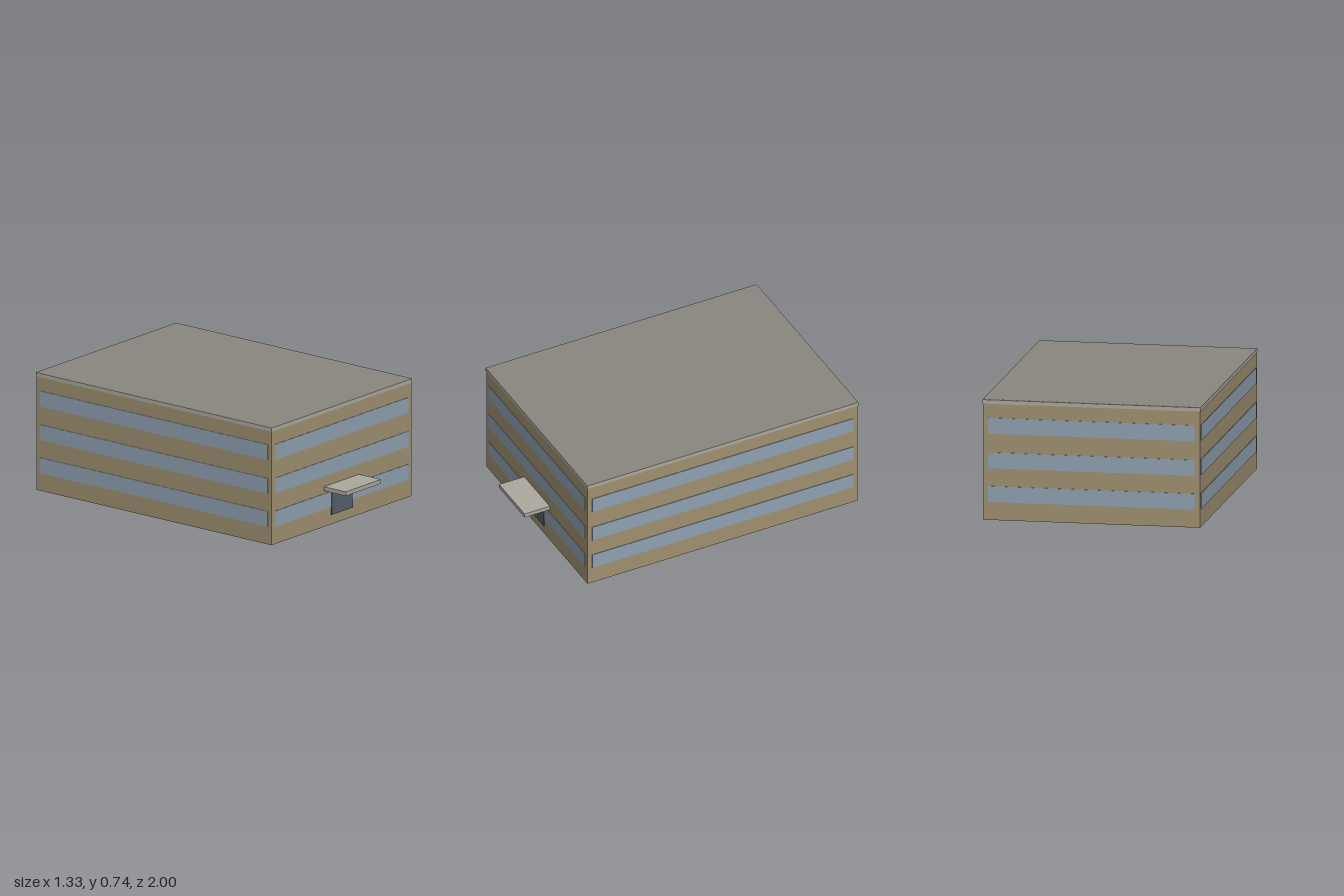
import * as THREE from 'three';

const material = (name, color, side = THREE.FrontSide) => {
  const m = new THREE.MeshStandardMaterial({ color, side });
  m.name = name;
  return m;
};

export function createModel() {
  const wallMat = material('tan wall', 0x9f9070, THREE.DoubleSide);
  const roofMat = material('roof grey', 0x8a8880, THREE.DoubleSide);
  const trimMat = material('light concrete', 0xaca99f);
  const glassMat = material('blue glass', 0x90a1b2);
  const doorMat = material('dark door', 0x555f6c);

  const model = new THREE.Group();
  model.name = 'officeBuilding';

  const halfW = 0.664, halfD = 0.9135, height = 0.737, skin = 0.003;
  const trimH = 0.024, windowH = 0.097;

  const add = (parent, name, geometry, mat, x, y, z) => {
    const mesh = new THREE.Mesh(geometry, mat);
    mesh.name = name;
    mesh.position.set(x, y, z);
    parent.add(mesh);
    return mesh;
  };

  // Hollow body, open underneath
  const body = new THREE.Group();
  body.name = 'body';
  body.position.z = -0.0835;
  model.add(body);

  // Each facade faces its own +z: wall, three window bands and roof trim
  ['front', 'left', 'back', 'right'].forEach((side, i) => {
    const halfLen = i % 2 ? halfD : halfW;
    const dist = i % 2 ? halfW : halfD;
    const facade = new THREE.Group();
    facade.name = side + 'Facade';
    facade.rotation.y = i * Math.PI / 2;
    body.add(facade);

    add(facade, 'wall', new THREE.PlaneGeometry(2 * halfLen, height), wallMat, 0, height / 2, dist);
    for (const y of [0.159, 0.366, 0.578]) {
      add(facade, 'windowBand', new THREE.BoxGeometry(2 * halfLen - 0.06, windowH, skin), glassMat,
        0, y, dist + skin / 2);
    }
    add(facade, 'roofTrim', new THREE.BoxGeometry(2 * (halfLen + skin), trimH, skin), trimMat,
      0, height - trimH / 2, dist + skin / 2);
  });

  // Flat roof, also the ceiling seen from inside
  const roof = add(body, 'roof', new THREE.PlaneGeometry(2 * (halfW + skin), 2 * (halfD + skin)),
    roofMat, 0, height + 0.001, 0);
  roof.rotation.x = -Math.PI / 2;

  // Entrance on the front
  add(model, 'door', new THREE.BoxGeometry(0.2, 0.157, 0.006), doorMat, 0, 0.1385, 0.833);
  add(model, 'canopy', new THREE.BoxGeometry(0.335, 0.026, 0.17), trimMat, 0, 0.239, 0.915);

  return model;
}
